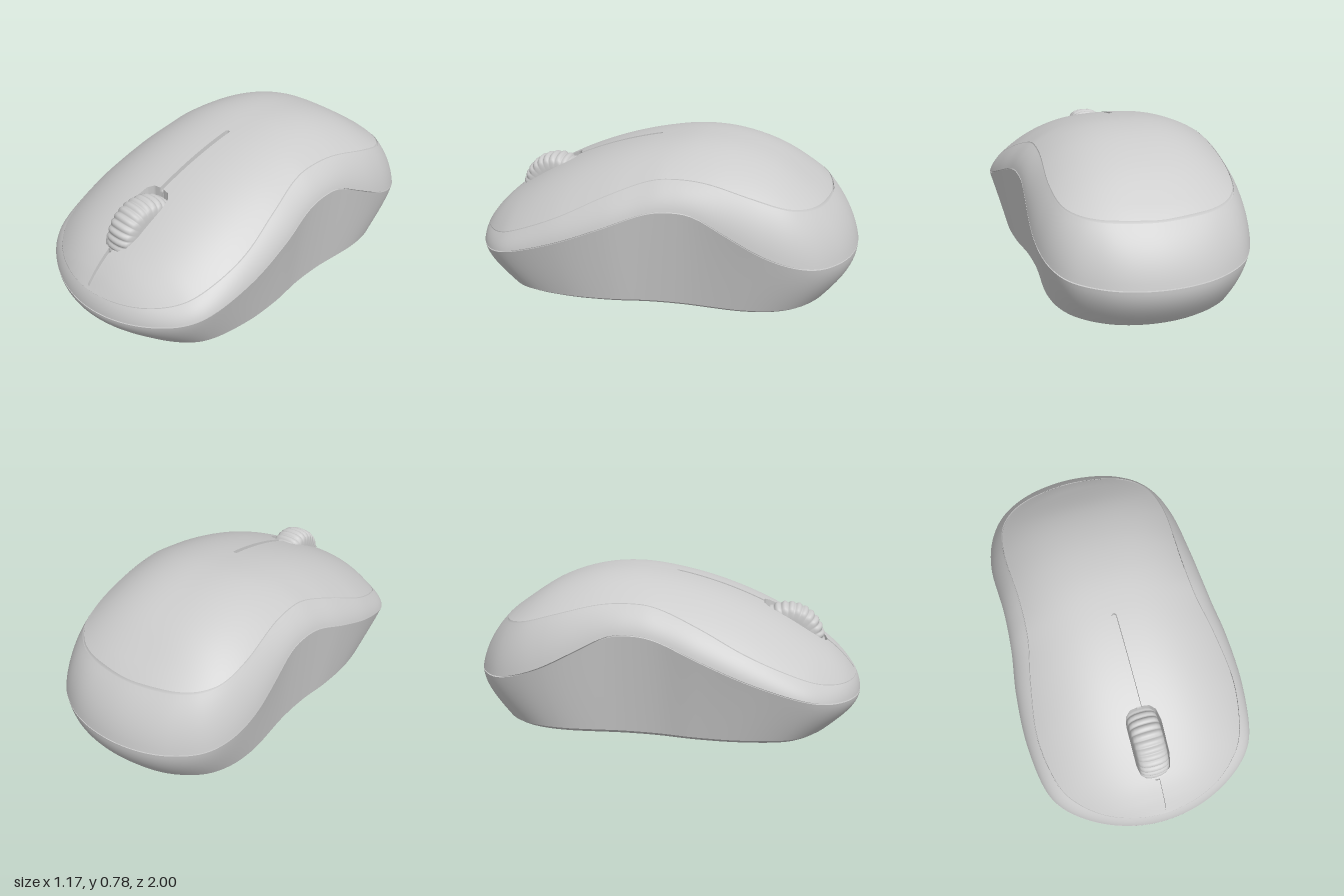
import * as THREE from 'three';

const STEPS = 8; // samples between outline control points

// Smooth function through [input, output] points with rising input
function smooth(points) {
  const p = new THREE.SplineCurve(points.map(([a, b]) => new THREE.Vector2(a, b))).getPoints(240);
  return (t) => {
    if (t <= p[0].x) return p[0].y;
    for (let i = 1; i < p.length; i++) {
      if (t <= p[i].x) {
        const f = (t - p[i - 1].x) / (p[i].x - p[i - 1].x || 1);
        return p[i - 1].y + (p[i].y - p[i - 1].y) * f;
      }
    }
    return p[p.length - 1].y;
  };
}

// Complete a half loop (back to front along +x) with its mirror image
const mirrorLoop = (half) =>
  half.concat(half.slice(1, -1).reverse().map((p) => new THREE.Vector3(-p.x, p.y, p.z)));

// Half outline seen from above, given as [x, z] from back to front
function halfOutline(points) {
  const half = points.map(([x, z]) => new THREE.Vector3(x, 0, z));
  const curve = new THREE.CatmullRomCurve3(mirrorLoop(half), true);
  const out = curve.getPoints((points.length - 1) * 2 * STEPS).slice(0, (points.length - 1) * STEPS + 1);
  out[0].x = out[out.length - 1].x = 0;
  return out;
}

// Skin a stack of closed loops, ordered from below/outside to above/inside
function loft(rings) {
  const n = rings[0].length, pos = [], index = [];
  rings.forEach((r) => r.forEach((p) => pos.push(p.x, p.y, p.z)));
  for (let i = 0; i < rings.length - 1; i++) {
    for (let j = 0; j < n; j++) {
      const a = i * n + j, b = i * n + (j + 1) % n, c = a + n, d = b + n;
      index.push(a, c, b, b, c, d);
    }
  }
  const g = new THREE.BufferGeometry();
  g.setAttribute('position', new THREE.Float32BufferAttribute(pos, 3));
  g.setIndex(index);
  g.computeVertexNormals();
  return g;
}

export function createModel() {
  const group = new THREE.Group();
  const grey = new THREE.MeshStandardMaterial({ color: 0xcccccc });
  const add = (name, geometry) => {
    const mesh = new THREE.Mesh(geometry, grey);
    mesh.name = name;
    group.add(mesh);
    return mesh;
  };
  const range = (n, fn) => Array.from({ length: n + 1 }, (_, i) => fn(i / n));

  // Heights along the body, as functions of z
  const seamY = smooth([[-1, .25], [-.8, .275], [-.6, .34], [-.4, .44], [-.25, .515], [-.13, .53],
    [0, .51], [.2, .43], [.4, .35], [.6, .28], [.8, .22], [1, .17]]);
  const trimY = smooth([[-.86, .51], [-.7, .54], [-.5, .6], [-.3, .65], [-.13, .66], [0, .64],
    [.2, .56], [.4, .46], [.6, .37], [.8, .29], [.97, .25]]);
  const crownY = smooth([[-.86, .51], [-.8, .56], [-.6, .69], [-.4, .76], [-.2, .78], [0, .757],
    [.2, .71], [.4, .64], [.6, .545], [.8, .42], [.9, .335], [.97, .25]]);

  // Outlines: widest seam and edge of the top cover
  const seamHalf = halfOutline([[0, -1], [.17, -.98], [.3, -.93], [.42, -.84], [.49, -.72], [.525, -.55],
    [.52, -.2], [.535, 0], [.57, .2], [.585, .45], [.55, .7], [.49, .8], [.36, .9], [.19, .97], [0, .995]]);
  const trimHalf = halfOutline([[0, -.86], [.17, -.84], [.27, -.81], [.35, -.76], [.41, -.68], [.44, -.53],
    [.43, -.2], [.44, 0], [.485, .2], [.525, .46], [.485, .7], [.43, .79], [.31, .89], [.16, .95], [0, .97]]);
  seamHalf.forEach((p) => { p.y = seamY(p.z); });
  trimHalf.forEach((p) => { p.y = trimY(p.z); });
  const seam = mirrorLoop(seamHalf), trim = mirrorLoop(trimHalf);

  // Crowned surface of the top cover
  const halfWidth = (z) => {
    for (let i = 1; i < trimHalf.length; i++) {
      const a = trimHalf[i - 1], b = trimHalf[i];
      if (z <= b.z) return a.x + (b.x - a.x) * Math.max(0, (z - a.z) / (b.z - a.z || 1));
    }
    return 0;
  };
  const coverY = (x, z) => {
    const u = Math.min(1, Math.abs(x) / Math.max(halfWidth(z), 1e-4));
    return trimY(z) + (crownY(z) - trimY(z)) * (1 - u ** 2.6);
  };

  // Opening in the cover: narrow slot widening around the wheel
  const openingPath = [[0, .03], [.012, .036], [.012, .485], [.05, .49], [.078, .515], [.09, .57],
    [.09, .72], [.077, .78], [.045, .81], [.012, .815], [.012, .955], [0, .96]];
  const opening = mirrorLoop(new THREE.Path()
    .setFromPoints(openingPath.map(([x, z]) => new THREE.Vector2(x, z)))
    .getSpacedPoints(trimHalf.length - 1)
    .map((p) => new THREE.Vector3(p.x, coverY(p.x, p.y), p.y)));

  // Flat base, chamfer and tapering lower shell
  const scaled = (sx, sz, y) => seam.map((p) => new THREE.Vector3(p.x * sx, y, p.z * sz));
  add('basePlate', loft([scaled(0, 0, 0), scaled(.82, .855, 0)]));
  add('baseChamfer', loft([scaled(.82, .855, 0), scaled(.87, .88, .02)]));
  const gap = .006;
  add('lowerShell', loft(range(14, (f) => seam.map((p) => new THREE.Vector3(
    p.x * (.87 + .13 * f),
    .02 + (p.y - gap - .02) * f,
    p.z * (.88 + .12 * Math.sin(f * Math.PI / 2)))))));

  // Recessed line between lower shell and side band
  const seamRing = (s, dy) => seam.map((p) => new THREE.Vector3(p.x * s, p.y + dy, p.z * s));
  add('seamGroove', loft([seamRing(1, -gap), seamRing(.98, -gap), seamRing(.98, 0), seamRing(1, 0)]));

  // Rounded band from the seam up to the cover
  add('sideBand', loft(range(10, (t) => seam.map((p, i) => {
    const q = trim[i];
    const c = q.clone().lerp(p, .8);
    c.y = q.y + (p.y - q.y) * .45;
    return p.clone().multiplyScalar((1 - t) ** 2)
      .addScaledVector(c, 2 * t * (1 - t)).addScaledVector(q, t * t);
  }))));

  // Top cover, spread between its edge and the opening
  const coverRing = (s, drop = 0) => trim.map((p, i) => {
    const q = p.clone().lerp(opening[i], s);
    q.y = (s === 0 ? p.y : coverY(q.x, q.z)) - drop;
    return q;
  });
  add('coverGroove', loft([coverRing(0), coverRing(.003, .012), coverRing(.01)]));
  add('topCover', loft(range(28, (f) => coverRing(.01 + .99 * f))));

  // Shallow slot and deeper wheel well
  const wellBottom = opening.map((p) =>
    new THREE.Vector3(p.x, p.y - (Math.abs(p.x) > .02 ? .12 : .025), p.z));
  add('slotWall', loft([opening, wellBottom]));
  add('slotFloor', loft([wellBottom, wellBottom.map((p) => new THREE.Vector3(0, p.y, p.z))]));

  // Barrel-shaped scroll wheel with ribs around its rim
  const profile = [[0, -.078], [.12, -.078], [.15, -.077], [.168, -.07], [.18, -.055], [.188, -.03], [.19, 0],
    [.188, .03], [.18, .055], [.168, .07], [.15, .077], [.12, .078], [0, .078]];
  const wheelGeo = new THREE.LatheGeometry(profile.map(([r, h]) => new THREE.Vector2(r, h)), 240);
  const pos = wheelGeo.attributes.position;
  for (let i = 0; i < pos.count; i++) {
    const x = pos.getX(i), z = pos.getZ(i), r = Math.hypot(x, z);
    if (r < .14) continue;
    const k = 1 + .055 * (Math.abs(Math.sin(Math.atan2(z, x) * 15)) - .5);
    pos.setX(i, x * k);
    pos.setZ(i, z * k);
  }
  wheelGeo.computeVertexNormals();
  const wheel = add('scrollWheel', wheelGeo);
  wheel.rotation.z = Math.PI / 2;
  wheel.position.set(0, .405, .61);

  return group;
}
